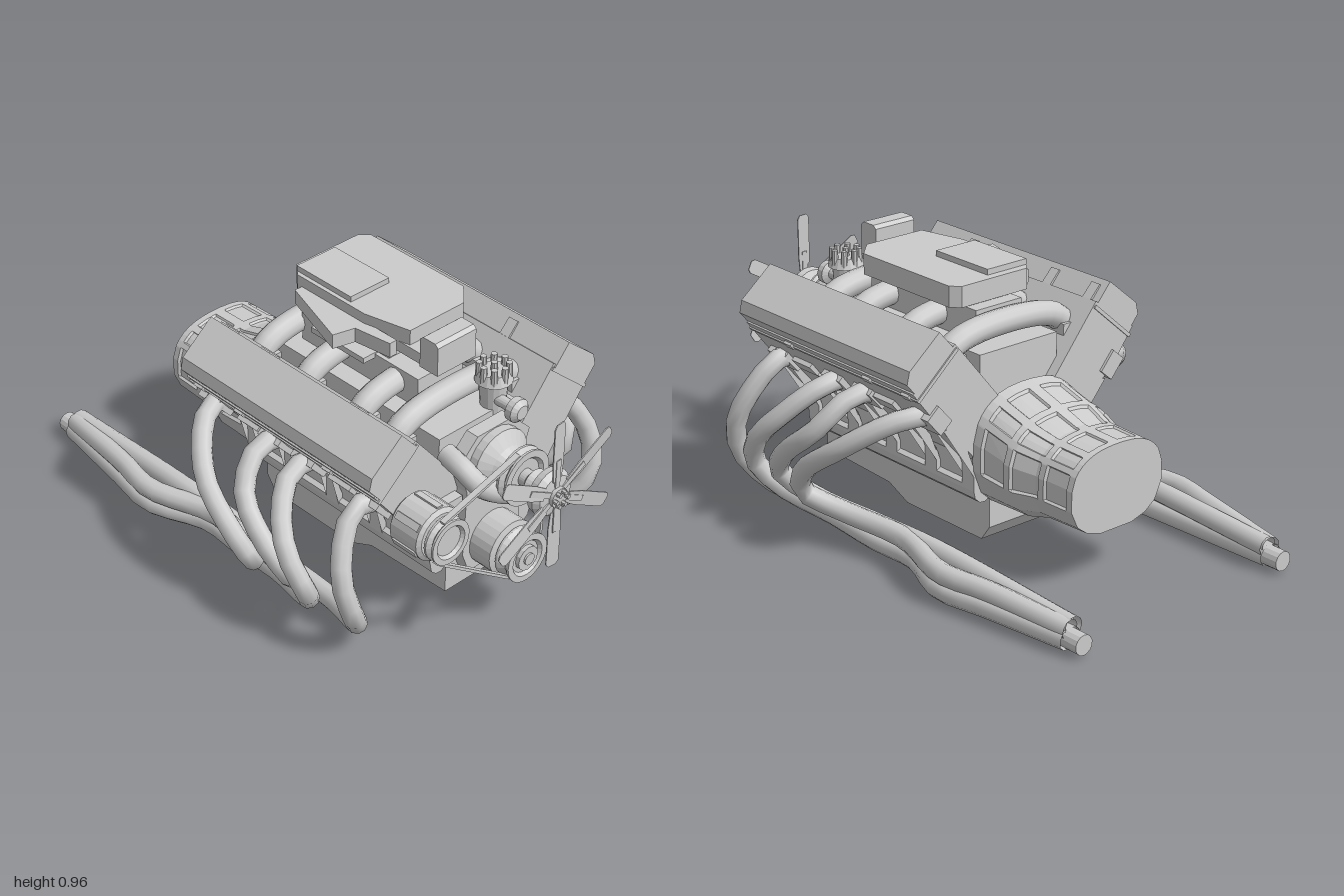
import * as THREE from 'three';

const grey = new THREE.MeshStandardMaterial({ color: 0xcccccc, side: THREE.DoubleSide });
const flat = new THREE.MeshStandardMaterial({ color: 0xcccccc, side: THREE.DoubleSide, flatShading: true });

export function createModel() {
  const root = new THREE.Group();
  const add = (name, geo, x = 0, y = 0, z = 0, mat = flat) => {
    const m = new THREE.Mesh(geo, mat);
    m.name = name;
    m.position.set(x, y, z);
    root.add(m);
    return m;
  };
  const shape = pts => new THREE.Shape(pts.map(p => new THREE.Vector2(p[0], p[1])));
  // outline in x,y swept from z0 to z1
  const slab = (name, pts, z0, z1) =>
    add(name, new THREE.ExtrudeGeometry(shape(pts), { depth: z1 - z0, bevelEnabled: false }), 0, 0, z0);
  // outline in x,z swept from y0 to y1
  const plate = (name, pts, y0, y1) => add(name,
    new THREE.ExtrudeGeometry(shape(pts.map(p => [p[0], -p[1]])), { depth: y1 - y0, bevelEnabled: false })
      .rotateX(-Math.PI / 2), 0, y0, 0);
  const box = (name, x0, x1, y0, y1, z0, z1) => add(name,
    new THREE.BoxGeometry(x1 - x0, y1 - y0, z1 - z0), (x0 + x1) / 2, (y0 + y1) / 2, (z0 + z1) / 2);
  const tube = (name, pts, r, seg, sides) => {
    const path = new THREE.CatmullRomCurve3(pts.map(p => new THREE.Vector3(...p)), false, 'centripetal');
    add(name, new THREE.TubeGeometry(path, seg, r, sides), 0, 0, 0, grey);
  };
  // turned part along z, profile of [radius, z]
  const turned = (name, prof, x, y, sides = 24) => add(name,
    new THREE.LatheGeometry(prof.map(p => new THREE.Vector2(p[0], p[1])), sides).rotateX(Math.PI / 2), x, y, 0);

  // crankcase and cylinder banks in one section
  const half = [[.165, .2], [.18, .188], [.205, .19], [.225, .208], [.231, .235], [.231, .25], [.215, .26], [.215, .34],
    [.335, .48], [.385, .515], [.42, .56], [.485, .645], [.31, .775], [.1, .52]];
  slab('engineBlock', [...half, ...half.map(p => [-p[0], p[1]]).reverse()], -.24, .655);
  box('valleyCover', -.17, .17, .5, .69, -.2, .62);

  // oil pan with a deep rear sump
  box('oilPanRail', -.165, .165, .225, .245, -.23, .66);
  const pan = shape([[-.65, .23], [-.65, .085], [-.3, .07], [-.2, .025], [.19, .025], [.23, .08], [.23, .23]]);
  add('oilPan', new THREE.ExtrudeGeometry(pan, { depth: .31, bevelEnabled: false }).rotateY(Math.PI / 2), -.155, 0, 0);

  const exhaust = [
    [[.37, .53, .56], [.46, .525, .54], [.54, .43, .57], [.575, .32, .61], [.55, .2, .63], [.48, .09, .57],
      [.42, .045, .4], [.41, .04, 0], [.43, .04, -.3], [.44, .045, -.94]],
    [[.37, .53, .26], [.48, .52, .26], [.59, .42, .34], [.625, .33, .42], [.6, .22, .47], [.54, .13, .4],
      [.48, .08, .2], [.46, .05, 0], [.45, .045, -.2], [.53, .045, -.42], [.51, .05, -.6], [.46, .045, -.94]],
    [[.37, .53, .1], [.48, .53, .1], [.58, .43, .15], [.61, .31, .29], [.575, .21, .36], [.5, .13, .25],
      [.44, .1, 0], [.44, .11, -.3], [.435, .08, -.94]],
    [[.37, .54, -.2], [.49, .525, -.15], [.61, .42, -.01], [.635, .3, .15], [.6, .2, .2], [.52, .14, .1],
      [.46, .11, -.15], [.53, .105, -.42], [.5, .1, -.6], [.45, .075, -.94]],
  ];
  for (const s of [1, -1]) {
    // u runs up the bank, v across it
    const uv = (u, v) => [s * (.656 * u + .755 * v), .755 * u - .656 * v];
    slab('coverGasket', [uv(.765, -.268), uv(.765, -.05), uv(.778, -.05), uv(.778, -.268)], -.245, .66);
    slab('valveCover', [uv(.77, -.262), uv(.77, -.062), uv(.85, -.064), uv(.876, -.1), uv(.872, -.262)], -.24, .66);
    for (const z of [.43, .01, -.19])
      slab('coverClip', [uv(.765, -.272), uv(.765, -.046), uv(.79, -.046), uv(.79, -.06), uv(.79, -.26), uv(.85, -.26),
        uv(.85, -.268)], z - .02, z + .02);
    for (const z of [.56, .26, .1, -.2])
      slab('exhaustPort', [uv(.61, -.09), uv(.61, -.028), uv(.695, -.028), uv(.695, -.09)], z - .05, z + .05);
    for (const z of [.43, -.01])
      slab('headBoss', [uv(.64, -.09), uv(.64, -.033), uv(.69, -.033), uv(.69, -.09)], z - .05, z + .05);
    // raised frame around the sunken crankcase panels
    for (const z of [.625, .4, .19, -.02, -.21])
      slab('blockRib', [[s * .2, .24], [s * .231, .24], [s * .231, .335], [s * .36, .485], [s * .3, .5]], z - .03, z + .03);
    exhaust.forEach(p => tube('exhaustPipe', p.map(q => [s * q[0], q[1], q[2]]), .036, 30, 10));
    turned('exhaustCollector', [[0, -1], [.035, -1], [.035, -.9], [0, -.9]], s * .447, .045, 14);
  }

  // bell housing: rounded section with sunken panels
  const stations = [[-.24, .235, .15, .57], [-.42, .232, .16, .515], [-.5, .206, .18, .49], [-.675, .202, .185, .485]];
  const section = z => {
    let i = 0;
    while (i < 2 && z < stations[i + 1][0]) i++;
    const a = stations[i], b = stations[i + 1], t = (z - a[0]) / (b[0] - a[0]);
    return a.map((v, k) => v + (b[k] - v) * t);
  };
  const angleBands = [[-10, 28], [36, 55], [64, 87], [93, 116], [125, 144], [152, 190]];
  const rows = [[-.385, -.275], [-.52, -.41], [-.65, -.545]];
  const steps = bands => bands.flatMap(([a, b]) => [a, a + (b - a) * .04, (a + b) / 2, b - (b - a) * .04, b]);
  const angles = [...steps(angleBands), 215, 235, 255, 285, 305, 325];
  const zs = [-.235, -.24, ...rows.flatMap(([a, b]) => [b, b - .006, a + .006, a]), -.42, -.5, -.675].sort((p, q) => q - p);
  const inside = (bands, v, e) => bands.some(([a, b]) => v > a + e && v < b - e);
  const pos = [], idx = [], n = angles.length;
  for (const z of zs) {
    const [, hw, y0, y1] = section(z);
    for (const d of angles) {
      const c = Math.cos(d * Math.PI / 180), w = Math.sin(d * Math.PI / 180);
      const k = inside(angleBands, d, .5) && inside(rows, z, .003) ? .955 : 1;
      pos.push(hw * k * Math.sign(c) * Math.abs(c) ** .8, (y0 + y1) / 2 + (y1 - y0) / 2 * k * Math.sign(w) * Math.abs(w) ** .8, z);
    }
  }
  for (let j = 0; j < zs.length - 1; j++) for (let i = 0; i < n; i++) {
    const a = j * n + i, b = j * n + (i + 1) % n;
    idx.push(a, a + n, b, b, a + n, b + n);
  }
  const last = (zs.length - 1) * n;
  pos.push(0, .335, -.675);
  for (let i = 0; i < n; i++) idx.push(last + i, last + n, last + (i + 1) % n);
  const bell = new THREE.BufferGeometry();
  bell.setAttribute('position', new THREE.Float32BufferAttribute(pos, 3));
  bell.setIndex(idx);
  bell.computeVertexNormals();
  add('bellHousing', bell);

  // intake runners, plenum and air cleaner
  for (const z of [-.13, .09, .345, .51]) {
    tube('intakeRunner', [[-.3, .64, z], [-.23, .715, z], [-.13, .745, z], [.13, .745, z], [.23, .715, z], [.3, .64, z]],
      .044, 18, 12);
    for (const s of [1, -1]) box('runnerFlange', s * .25 - .035, s * .25 + .035, .64, .7, z - .055, z + .055);
  }
  box('plenum', -.1, .1, .68, .8, -.1, .45);
  box('airCleanerNeck', -.085, .085, .79, .87, -.05, .3);
  plate('airCleaner', [[-.1, .2], [-.1, -.12], [-.06, -.17], [.22, -.17], [.25, -.14], [.25, .3], [.18, .37], [-.06, .37]], .857, .93);
  plate('airCleanerLid', [[-.085, .12], [-.085, -.14], [.085, -.14], [.085, .12]], .93, .95);
  box('snoutDuct', -.07, .07, .835, .875, .3, .47);
  // inlet with rounded top edges
  const inlet = shape([[-.52, .84], [-.44, .84], [-.44, .945], [-.453, .957], [-.507, .957], [-.52, .945]]);
  add('airSnout', new THREE.ExtrudeGeometry(inlet, { depth: .17, bevelEnabled: false }).rotateY(Math.PI / 2), -.085, 0, 0);
  plate('airSideWedge', [[-.09, -.1], [-.13, -.1], [-.22, .18], [-.14, .2], [-.12, .34], [-.09, .34]], .84, .893);
  box('throttleBracket', -.15, -.08, .785, .805, .0, .25);

  // distributor
  add('distributorBody', new THREE.CylinderGeometry(.05, .04, .14, 16), .1, .72, .59);
  add('distributorCap', new THREE.CylinderGeometry(.05, .064, .035, 16), .1, .8, .59);
  for (let i = 0; i < 9; i++) {
    const a = i * Math.PI / 4, r = i < 8 ? .048 : 0;
    add('plugTower', new THREE.CylinderGeometry(.011, .013, .06, 8), .1 + r * Math.cos(a), .817, .59 + r * Math.sin(a));
  }
  turned('vacuumCan', [[0, .62], [.02, .62], [.02, .68], [.042, .69], [.042, .715], [.025, .73], [0, .73]], .09, .725, 16);

  // timing cover, water pump and hose
  slab('timingCover', [[-.13, .25], [-.1, .17], [.1, .17], [.13, .25], [.12, .5], [.16, .62], [.08, .7], [-.08, .7],
    [-.16, .62], [-.12, .5]], .65, .7);
  turned('waterPump', [[0, .69], [.12, .69], [.12, .73], [.075, .76], [.05, .8], [0, .8]], 0, .577);
  tube('pumpHose', [[-.16, .645, .64], [-.165, .63, .72], [-.14, .58, .77], [-.05, .51, .78], [.06, .46, .78],
    [.15, .4, .77], [.185, .38, .72], [.185, .38, .64]], .036, 28, 12);

  // pulleys with a grooved rim
  const pulley = (name, x, y, r, z0, z1) => turned(name, [[0, z0], [r, z0], [r, z0 + .008], [r - .015, (z0 + z1) / 2],
    [r, z1 - .008], [r, z1], [r * .75, z1], [r * .65, z1 - .012], [0, z1 - .012]], x, y);
  pulley('pumpPulley', 0, .577, .1, .805, .845);
  pulley('crankPulley', 0, .267, .09, .805, .865);
  turned('crankDamper', [[0, .69], [.1, .69], [.1, .79], [.06, .8], [0, .8]], 0, .267);
  turned('crankBolt', [[0, .85], [.045, .85], [.045, .868], [.022, .868], [.022, .875], [0, .875]], 0, .267, 12);
  turned('alternator', [[0, .65], [.07, .65], [.095, .67], [.095, .785], [.08, .795], [0, .795]], -.335, .5);
  pulley('alternatorPulley', -.335, .5, .08, .805, .845);
  for (let i = 0; i < 6; i++) {
    const a = i * Math.PI / 3 + .4;
    add('alternatorLug', new THREE.BoxGeometry(.02, .025, .1), -.335 + .09 * Math.cos(a), .5 + .09 * Math.sin(a), .73).rotation.z = a;
  }
  box('alternatorBracket', -.3, -.13, .44, .49, .65, .69);

  // belt runs along outer tangents of neighbouring pulleys
  const wheels = [[0, .267, .088], [0, .577, .098], [-.335, .5, .08]];
  wheels.forEach(([x1, y1, r1], i) => {
    const [x2, y2, r2] = wheels[(i + 1) % 3];
    const d = Math.hypot(x2 - x1, y2 - y1);
    const a = Math.atan2(y2 - y1, x2 - x1) - Math.acos((r1 - r2) / d);
    const p = [x1 + r1 * Math.cos(a), y1 + r1 * Math.sin(a)], q = [x2 + r2 * Math.cos(a), y2 + r2 * Math.sin(a)];
    add('belt', new THREE.BoxGeometry(Math.hypot(q[0] - p[0], q[1] - p[1]), .01, .022),
      (p[0] + q[0]) / 2, (p[1] + q[1]) / 2, .826).rotation.z = Math.atan2(q[1] - p[1], q[0] - p[0]);
  });

  // cooling fan
  turned('fanClutch', [[0, .8], [.03, .8], [.03, .86], [.05, .875], [.04, .9], [.08, .92], [.085, .945], [.07, .965],
    [.035, .97], [.035, .985], [0, .985]], 0, .577);
  const bladeShape = shape([[-.02, .06], [.02, .06], [.026, .12], [.026, .265], [.016, .278], [-.016, .278], [-.026, .265], [-.026, .12]]);
  for (let i = 0; i < 6; i++) {
    const a = i * Math.PI / 3;
    const blade = new THREE.ExtrudeGeometry(bladeShape, { depth: .004, bevelEnabled: false }).rotateY(.1).rotateZ(a);
    add('fanBlade', blade, 0, .577, .966);
    add('fanArm', new THREE.BoxGeometry(.02, .12, .01).translate(0, .08, 0).rotateZ(a), 0, .577, .968);
    add('fanBolt', new THREE.CylinderGeometry(.008, .008, .03, 6).rotateX(Math.PI / 2),
      .025 * Math.cos(a), .577 + .025 * Math.sin(a), .985);
  }
  return root;
}
